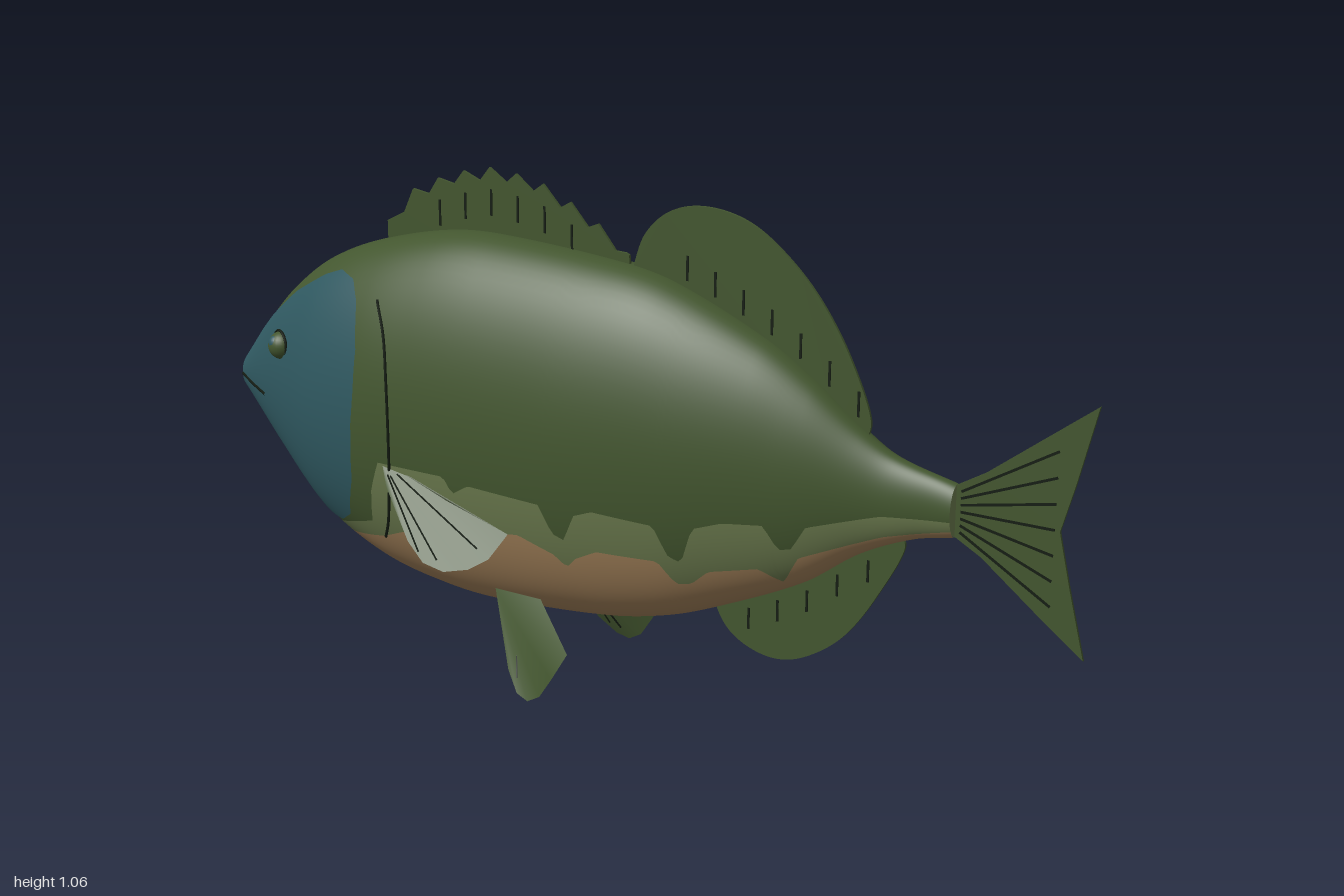
import * as THREE from 'three';

const mat = (name, color, side = THREE.FrontSide) => {
  const m = new THREE.MeshStandardMaterial({ color, side });
  m.name = name;
  return m;
};

// value at x through [x, y] points, straight or smooth
function curve(pts, smooth = false) {
  const n = pts.length;
  const slope = (i) => {
    const a = pts[Math.max(i - 1, 0)], b = pts[Math.min(i + 1, n - 1)];
    return (b[1] - a[1]) / (b[0] - a[0]);
  };
  return (x) => {
    if (x <= pts[0][0]) return pts[0][1];
    if (x >= pts[n - 1][0]) return pts[n - 1][1];
    let i = 0;
    while (x > pts[i + 1][0]) i++;
    const [x0, y0] = pts[i], [x1, y1] = pts[i + 1], d = x1 - x0, t = (x - x0) / d;
    if (!smooth) return y0 + (y1 - y0) * t;
    const t2 = t * t, t3 = t2 * t;
    return (2 * t3 - 3 * t2 + 1) * y0 + (t3 - 2 * t2 + t) * d * slope(i) +
      (3 * t2 - 2 * t3) * y1 + (t3 - t2) * d * slope(i + 1);
  };
}

// body outline: back, belly and half width along the length
const back = curve([[-1, .565], [-.92, .665], [-.83, .757], [-.725, .83], [-.59, .882], [-.42, .92], [-.29, .926],
  [0, .905], [.125, .88], [.33, .795], [.436, .73], [.54, .65], [.61, .61], [.735, .578]], true);
const belly = curve([[-1, .49], [-.875, .36], [-.74, .243], [-.58, .168], [-.42, .136], [-.29, .13], [-.02, .152],
  [.125, .184], [.25, .233], [.425, .318], [.54, .4], [.65, .452], [.735, .473]], true);
const width = curve([[-1, .028], [-.9, .072], [-.8, .118], [-.7, .16], [-.555, .187], [-.42, .192], [-.2, .187], [0, .175],
  [.2, .145], [.405, .097], [.57, .05], [.67, .034], [.735, .03]], true);

const skin = (x, a, off = 0) => {
  const t = back(x), b = belly(x);
  return new THREE.Vector3(x, (t + b) / 2 + ((t - b) / 2 + off) * Math.sin(a), (width(x) + off) * Math.cos(a));
};
const angleAt = (x, y) => {
  const t = back(x), b = belly(x);
  return Math.asin(THREE.MathUtils.clamp((2 * y - t - b) / (t - b), -1, 1));
};
const onSkin = (x, y, off = 0) => skin(x, angleAt(x, y), off);

// strip of skin between two height curves, on side s
function patch(x0, x1, lo, hi, s, off = 0, nx = 170, na = 24) {
  const pos = [], nor = [], idx = [], e = .004;
  for (let i = 0; i <= nx; i++) {
    const x = x0 + (x1 - x0) * i / nx, a0 = angleAt(x, lo(x)), a1 = Math.max(a0, angleAt(x, hi(x)));
    for (let j = 0; j <= na; j++) {
      const a = a0 + (a1 - a0) * j / na, p = skin(x, a, off);
      const dx = skin(Math.min(x + e, .735), a).sub(skin(Math.max(x - e, -1), a));
      const n = dx.cross(skin(x, a + e).sub(skin(x, a - e))).normalize();
      pos.push(p.x, p.y, s * p.z);
      nor.push(n.x, n.y, s * n.z);
      if (i < nx && j < na) {
        const q = i * (na + 1) + j, r = q + na + 1;
        if (s > 0) idx.push(q, r, q + 1, r, r + 1, q + 1);
        else idx.push(q, q + 1, r, r, q + 1, r + 1);
      }
    }
  }
  const g = new THREE.BufferGeometry();
  g.setAttribute('position', new THREE.Float32BufferAttribute(pos, 3));
  g.setAttribute('normal', new THREE.Float32BufferAttribute(nor, 3));
  g.setIndex(idx);
  return g;
}

export function createModel() {
  const root = new THREE.Group();
  const green = mat('dark green', 0x43562f), olive = mat('light olive', 0x6b7a4e), tan = mat('belly tan', 0xa18059);
  const teal = mat('head teal', 0x2f5860), dark = mat('line black', 0x141c12);
  const finSkin = mat('fin green', 0x43562f, THREE.DoubleSide);
  const add = (name, geo, m) => {
    const mesh = new THREE.Mesh(geo, m);
    mesh.name = name;
    root.add(mesh);
    return mesh;
  };
  const line = (name, pts, r = .0035) =>
    add(name, new THREE.TubeGeometry(new THREE.CatmullRomCurve3(pts), Math.max(2, pts.length * 5), r, 5), dark);

  // scalloped colour borders on the flanks
  const upper = curve([[-.82, 0], [-.78, .25], [-.69, .25], [-.54, .3], [-.52, .38], [-.49, .45], [-.32, .45], [-.3, .415],
    [-.26, .44], [-.09, .43], [-.065, .37], [-.04, .36], [-.01, .42], [.03, .435], [.16, .425], [.185, .36], [.21, .35],
    [.24, .43], [.3, .45], [.38, .455], [.405, .405], [.43, .41], [.46, .46], [.6, .5], [.735, .51]]);
  const lower = curve([[-.8, 0], [-.74, .235], [-.65, .235], [-.52, .265], [-.46, .29], [-.31, .33], [-.15, .35], [-.07, .32],
    [-.045, .295], [-.02, .32], [.03, .345], [.16, .345], [.19, .295], [.22, .3], [.26, .335], [.36, .355],
    [.4, .325], [.44, .39], [.6, .455], [.735, .49]]);
  const headTop = curve([[-1, .57], [-.9, .672], [-.8, .748], [-.7, .802], [-.65, .82], [-.6, .81], [-.57, .77], [-.55, .68]]);
  const headLow = curve([[-1, .49], [-.9, .392], [-.8, .312], [-.72, .272], [-.66, .268], [-.61, .3], [-.57, .4], [-.55, .6]]);

  for (const s of [1, -1]) {
    const P = (x, y, z) => new THREE.Vector3(x, y, s * z);
    const S = (x, y, off) => { const p = onSkin(x, y, off); p.z *= s; return p; };
    add('upperBody', patch(-1, .735, upper, () => 2, s), green);
    add('flankBand', patch(-1, .735, lower, upper, s, 0, 170, 8), olive);
    add('bellySkin', patch(-1, .735, () => 0, lower, s), tan);
    add('headPatch', patch(-1, -.55, headLow, headTop, s, .003, 60, 24), teal);

    // eye, mouth and gill edge
    const eye = add('eye', new THREE.SphereGeometry(.031, 24, 16), green);
    eye.position.copy(S(-.82, .635, -.004));
    const rim = add('eyeRim', new THREE.TorusGeometry(.031, .003, 6, 32), dark);
    rim.position.copy(S(-.82, .635, .003));
    rim.rotation.y = -s * .45;
    const pupil = add('pupil', new THREE.SphereGeometry(.018, 20, 12), teal);
    pupil.position.copy(S(-.825, .635, .012));
    line('mouth', [S(-.998, .527, .003), S(-.95, .515, .003), S(-.895, .505, .003)]);
    line('gillEdge', [[-.515, .785], [-.48, .72], [-.46, .62], [-.455, .5], [-.465, .4], [-.49, .31], [-.515, .265]]
      .map(([x, y]) => S(x, y, .001)));

    // paired fins fanned from the root
    const fin = (name, pts) => {
      const g = new THREE.BufferGeometry().setFromPoints(pts), idx = [];
      for (let i = 1; i < pts.length - 1; i++) idx.push(0, i, i + 1);
      g.setIndex(idx);
      g.computeVertexNormals();
      add(name, g, finSkin);
    };
    const pec = [P(-.485, .455, .18), P(-.3, .405, .2), P(-.145, .365, .205), P(-.165, .32, .245), P(-.2, .298, .268),
      P(-.25, .288, .284), P(-.3, .298, .286), P(-.35, .33, .27), P(-.45, .41, .21)];
    fin('pectoralFin', pec);
    const pel = [P(-.255, .19, .1), P(-.14, .19, .1), P(-.01, .13, .195), P(-.05, .065, .195), P(-.08, .02, .195),
      P(-.11, .003, .195), P(-.14, .012, .19), P(-.175, .05, .17), P(-.215, .13, .13)];
    fin('pelvicFin', pel);
    for (const i of [3, 5, 6]) {
      line('pectoralRay', [pec[0].clone().lerp(pec[i], .15), pec[0].clone().lerp(pec[i], .9)], .002);
      const base = pel[0].clone().lerp(pel[1], .5);
      line('pelvicRay', [base.clone().lerp(pel[i], .2), base.clone().lerp(pel[i], .85)], .002);
    }
  }

  // snout and tail-root caps
  for (const [name, x, m] of [['snoutTip', -1, teal], ['tailRoot', .735, olive]]) {
    const cap = add(name, new THREE.CircleGeometry(1, 24), m);
    cap.scale.set(width(x), (back(x) - belly(x)) / 2, 1);
    cap.position.set(x, (back(x) + belly(x)) / 2, 0);
    cap.rotation.y = Math.sign(x) * Math.PI / 2;
  }

  // thin fins on the centre line
  const flat = (name, pts, build) => {
    const shape = new THREE.Shape();
    shape.moveTo(...pts[0]);
    if (build) shape.splineThru(pts.slice(1).map((p) => new THREE.Vector2(...p)));
    else pts.slice(1).forEach((p) => shape.lineTo(...p));
    const g = new THREE.ExtrudeGeometry(shape, { depth: .006, bevelEnabled: false, curveSegments: 32 });
    add(name, g.translate(0, 0, -.003), green);
  };
  const spineTop = curve([[-.59, .92], [-.52, .995], [-.42, 1.04], [-.31, 1.063], [-.2, 1.045], [-.1, 1.0], [0, .94], [.02, .9]]);
  const spines = [[-.59, .85], [-.59, .92]];
  for (let i = 0; i < 9; i++) {
    const x = -.52 + i * .066;
    spines.push([x - .025, spineTop(x - .025) - .025], [x, spineTop(x)]);
  }
  spines.push([.015, .92], [.02, .87], [-.3, .85]);
  flat('spinyDorsalFin', spines);
  flat('softDorsalFin', [[.02, .88], [.05, .965], [.11, 1.02], [.19, 1.037], [.28, 1.02], [.36, .97], [.44, .89], [.51, .78],
    [.555, .66], [.5, .64], [.3, .76]], true);
  flat('analFin', [[.2, .28], [.24, .195], [.29, .155], [.36, .14], [.43, .16], [.51, .22], [.58, .32], [.635, .44],
    [.55, .43], [.4, .34]], true);
  flat('tailFin', [[.7, .57], [.735, .577], [.79, .61], [.9, .695], [1, .772], [.965, .62], [.94, .525], [.965, .42],
    [1, .285], [.9, .36], [.79, .445], [.735, .475], [.7, .48]]);

  // fin rays
  const ray = (name, x0, y0, x1, y1) => {
    const r = add(name, new THREE.BoxGeometry(Math.hypot(x1 - x0, y1 - y0), .005, .009), dark);
    r.position.set((x0 + x1) / 2, (y0 + y1) / 2, 0);
    r.rotation.z = Math.atan2(y1 - y0, x1 - x0);
  };
  for (let i = 0; i < 6; i++) {
    const x = -.454 + i * .066;
    ray('dorsalSpine', x + .004, spineTop(x) - .1, x + .004, spineTop(x) - .045);
  }
  for (let i = 0; i < 7; i++) {
    const x = .15 + i * .063;
    ray('softDorsalRay', x, back(x) + .015, x, back(x) + .065);
  }
  for (let i = 0; i < 5; i++) {
    const x = .3 + i * .065;
    ray('analRay', x, belly(x) - .065, x, belly(x) - .02);
  }
  for (let i = 0; i < 7; i++) {
    const t = i / 6 - .5;
    ray('tailRay', .745, .526 + t * .08, .93, .527 + t * .3);
  }
  return root;
}
